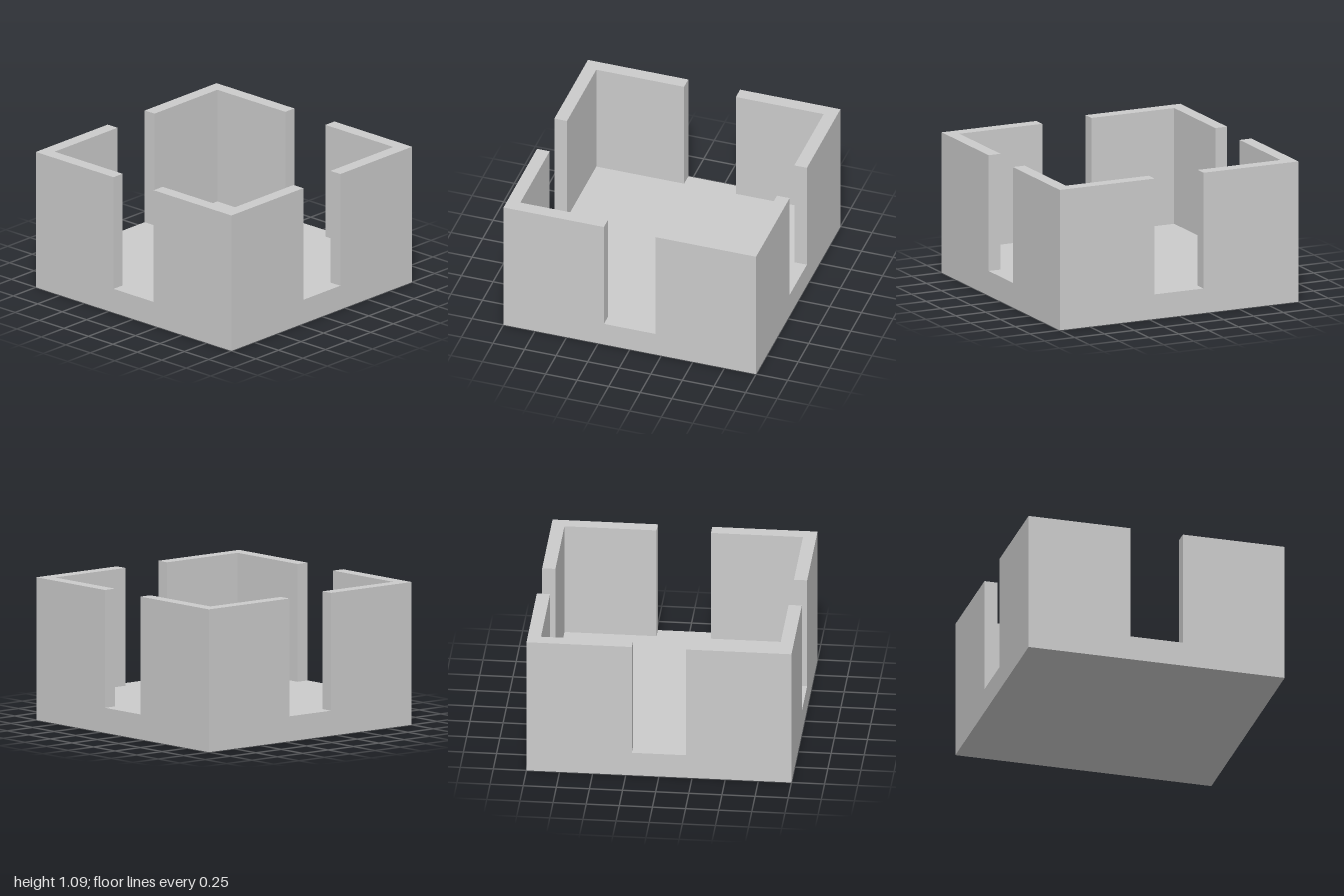
import * as THREE from 'three';

const HALF = 1;        // half width of the square plan
const INNER = 0.9;     // inner face of the walls
const GAP = 0.205;     // half width of the opening in each side
const FLOOR = 0.19;    // thickness of the base slab
const HEIGHT = 1.086;  // top of the walls

export function createModel() {
  const group = new THREE.Group();
  const material = new THREE.MeshStandardMaterial({ color: 0xcccccc, flatShading: true });

  // Solid square base slab
  const base = new THREE.Mesh(new THREE.BoxGeometry(2 * HALF, FLOOR, 2 * HALF), material);
  base.name = 'base';
  base.position.y = FLOOR / 2;
  group.add(base);

  // L-shaped corner wall, extruded upwards
  const plan = new THREE.Shape([
    [GAP, INNER], [INNER, INNER], [INNER, GAP],
    [HALF, GAP], [HALF, HALF], [GAP, HALF],
  ].map(([x, y]) => new THREE.Vector2(x, y)));
  const wall = new THREE.ExtrudeGeometry(plan, { depth: HEIGHT - FLOOR, bevelEnabled: false });
  wall.rotateX(-Math.PI / 2);

  // One wall at each corner
  ['backLeft', 'backRight', 'frontRight', 'frontLeft'].forEach((corner, i) => {
    const mesh = new THREE.Mesh(wall, material);
    mesh.name = corner + 'CornerWall';
    mesh.position.y = FLOOR;
    mesh.rotation.y = i * Math.PI / 2;
    group.add(mesh);
  });

  return group;
}
